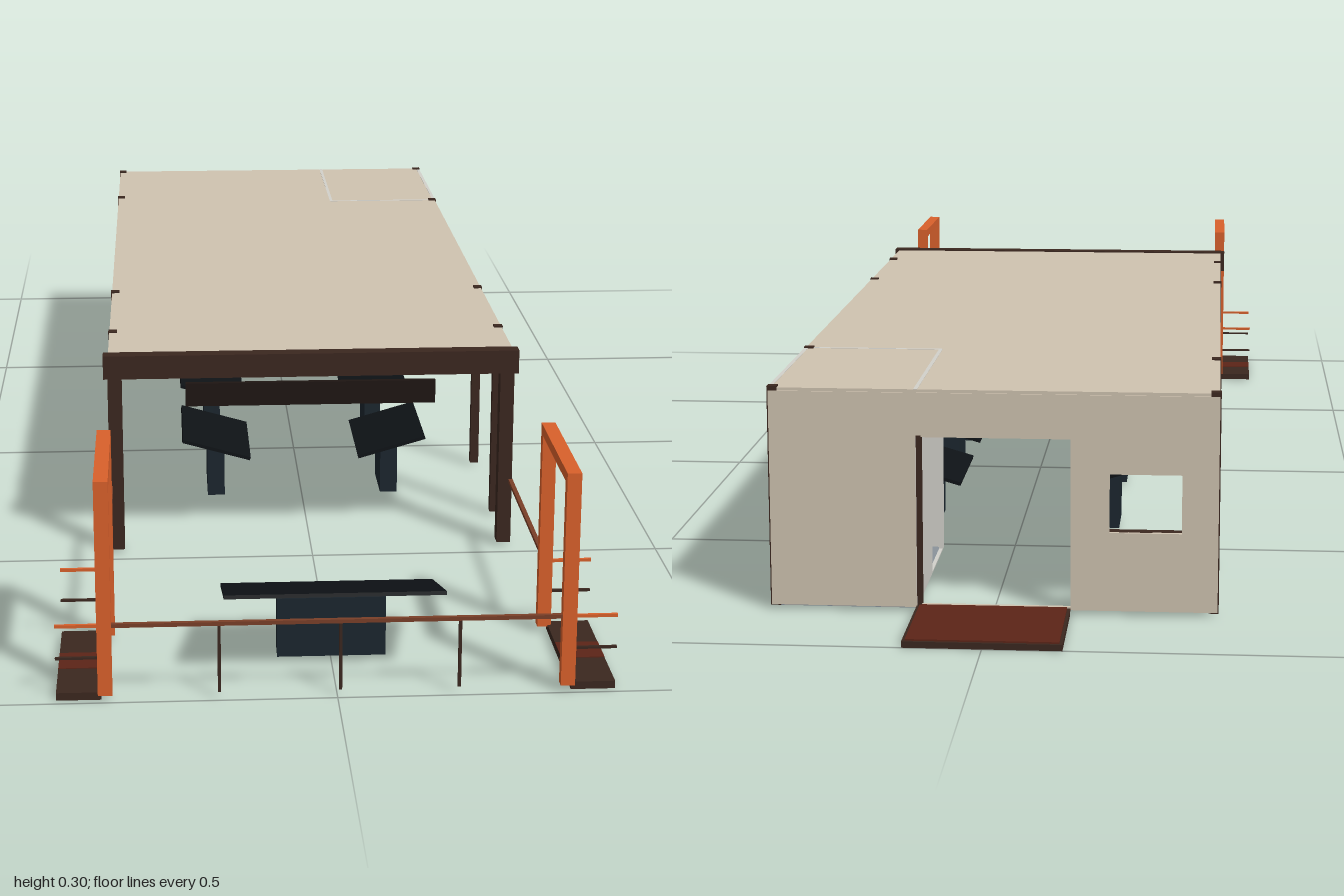
import * as THREE from 'three';

const mat = (color) => new THREE.MeshStandardMaterial({ color, side: THREE.DoubleSide });
const M = {
  roof: mat(0xcfc3b0), grey: mat(0xd2d1cb), brown: mat(0x3b271f), orange: mat(0xd9602b),
  rust: mat(0x5c2417), sofa: mat(0x9c4128), cushion: mat(0x7a2f20), black: mat(0x0e1216),
  slate: mat(0x1b262e), tile: mat(0x8a939a), sign: mat(0x1e1512), rail: mat(0x7a3f28),
  lamp: mat(0xd99a3d), white: mat(0xe8e8e4),
};

// Box given by its min and max on each axis
function box(parent, name, material, x0, x1, y0, y1, z0, z1) {
  const m = new THREE.Mesh(new THREE.BoxGeometry(x1 - x0, y1 - y0, z1 - z0), material);
  m.position.set((x0 + x1) / 2, (y0 + y1) / 2, (z0 + z1) / 2);
  m.name = name;
  parent.add(m);
  return m;
}

// Upright wall in the xy plane with rectangular openings [u0, u1, v0, v1]
function wall(parent, name, material, u0, u1, v0, v1, depth, openings) {
  const rect = (P, a, b, c, d) => {
    const p = new P();
    p.moveTo(a, c); p.lineTo(b, c); p.lineTo(b, d); p.lineTo(a, d); p.closePath();
    return p;
  };
  const shape = rect(THREE.Shape, u0, u1, v0, v1);
  openings.forEach((o) => shape.holes.push(rect(THREE.Path, ...o)));
  const m = new THREE.Mesh(new THREE.ExtrudeGeometry(shape, { depth, bevelEnabled: false }), material);
  m.name = name;
  parent.add(m);
  return m;
}

// Display desk with a sloping top that rises toward its local +z
function desk(parent, name, s, x, z, turn) {
  const g = new THREE.Group();
  g.name = name;
  box(g, 'deskPedestal', M.slate, -0.07 * s, 0.07 * s, 0.008, 0.088, -0.013, 0.013);
  const top = new THREE.Mesh(new THREE.BoxGeometry(0.28 * s, 0.005, 0.166 * s), M.black);
  top.position.y = 0.095;
  top.rotation.x = -0.28;
  top.name = 'slopingTop';
  g.add(top);
  g.position.set(x, 0, z);
  g.rotation.y = turn;
  parent.add(g);
}

function cylinder(parent, name, material, r0, r1, h, x, y, z) {
  const m = new THREE.Mesh(new THREE.CylinderGeometry(r0, r1, h, 20), material);
  m.position.set(x, y, z);
  m.name = name;
  parent.add(m);
}

function buildPavilion(root) {
  const g = new THREE.Group();
  g.name = 'pavilion';
  root.add(g);
  box(g, 'roof', M.roof, -0.29, 0.29, 0.287, 0.294, -0.84, 0.46);
  box(g, 'frontBeam', M.brown, -0.297, 0.297, 0.262, 0.296, 0.452, 0.474);
  box(g, 'hangingSign', M.sign, -0.18, 0.18, 0.213, 0.247, 0.442, 0.45);
  // Cross beams and long battens below the roof
  for (const z of [0.335, 0.1, -0.21, -0.46, -0.6])
    box(g, 'crossBeam', M.brown, -0.288, z < -0.55 ? 0.1 : 0.288, 0.278, 0.287, z - 0.006, z + 0.006);
  for (const x of [-0.1, 0.1])
    box(g, 'roofBatten', M.rail, x - 0.004, x + 0.004, 0.282, 0.287, -0.55, 0.45);
  for (const s of [-1, 1]) {
    const post = (z, w) => box(g, 'post', M.brown, s * 0.285 - w, s * 0.285 + w, 0.005, 0.296, z - w, z + w);
    box(g, 'frontPost', M.brown, s * 0.281 - 0.01, s * 0.281 + 0.01, 0.005, 0.27, 0.451, 0.473);
    [0.335, 0.1, -0.835].forEach((z) => post(z, 0.0065));
    post(s < 0 ? -0.6 : -0.55, 0.0065);
    box(g, 'edgeBeam', M.brown, s * 0.287 - 0.003, s * 0.287 + 0.003, 0.283, 0.2875, -0.84, 0.46);
    [0.205, -0.085, -0.375].forEach((z) => desk(g, 'sideDesk', 0.64, s * 0.133, z, s * Math.PI / 2));
  }
}

function buildRearRooms(root) {
  const g = new THREE.Group();
  g.name = 'rearRooms';
  root.add(g);
  // Back wall with doorway and window
  wall(g, 'backWall', M.roof, -0.29, 0.29, 0.006, 0.29, 0.006,
    [[-0.1, 0.1, 0.01, 0.232], [-0.243, -0.15, 0.11, 0.187]]).position.z = -0.842;
  box(g, 'doorHeader', M.sign, -0.13, 0.095, 0.234, 0.268, -0.835, -0.82);
  box(g, 'doorJamb', M.orange, -0.112, -0.1, 0.006, 0.234, -0.836, -0.826);
  box(g, 'doorJamb', M.brown, 0.093, 0.099, 0.006, 0.234, -0.843, -0.826);
  box(g, 'windowSill', M.brown, -0.248, -0.146, 0.106, 0.11, -0.838, -0.822);
  // Small closed room in the back corner
  wall(g, 'roomFrontWall', M.grey, 0.098, 0.29, 0.01, 0.2945, 0.005, []).position.z = -0.553;
  const side = wall(g, 'roomSideWall', M.grey, 0.55, 0.84, 0.01, 0.2945, 0.005, [[0.68, 0.755, 0.11, 0.182]]);
  side.rotation.y = Math.PI / 2;
  side.position.x = 0.286;
  const inner = wall(g, 'roomInnerWall', M.grey, 0.55, 0.84, 0.01, 0.2945, 0.005, [[0.57, 0.69, 0.012, 0.215]]);
  inner.rotation.y = Math.PI / 2;
  inner.position.x = 0.097;
  const frame = wall(g, 'sideWindowFrame', M.white, 0.677, 0.758, 0.107, 0.185, 0.007, [[0.682, 0.753, 0.112, 0.18]]);
  frame.rotation.y = Math.PI / 2;
  frame.position.x = 0.285;
  box(g, 'roomFloor', M.tile, 0.1, 0.288, 0.004, 0.01, -0.838, -0.552);
  box(g, 'basin', M.white, 0.23, 0.28, 0.07, 0.09, -0.66, -0.59);
  box(g, 'basinStand', M.white, 0.25, 0.27, 0.01, 0.07, -0.635, -0.615);
  // Entrance deck
  box(g, 'deck', M.brown, -0.1, 0.1, 0, 0.008, -1, -0.842);
  box(g, 'deckMat', M.rust, -0.096, 0.096, 0.008, 0.01, -0.996, -0.842);
}

function buildLounge(root) {
  const g = new THREE.Group();
  g.name = 'lounge';
  root.add(g);
  // Corner sofa
  box(g, 'sofaBase', M.brown, -0.28, -0.14, 0.008, 0.045, -0.832, -0.765);
  box(g, 'sofaBase', M.brown, -0.28, -0.225, 0.008, 0.045, -0.765, -0.625);
  box(g, 'sofaSeat', M.sofa, -0.28, -0.14, 0.045, 0.056, -0.832, -0.763);
  box(g, 'sofaSeat', M.sofa, -0.28, -0.223, 0.045, 0.056, -0.763, -0.625);
  box(g, 'sofaBack', M.sofa, -0.28, -0.14, 0.056, 0.092, -0.832, -0.815);
  box(g, 'sofaBack', M.sofa, -0.28, -0.267, 0.056, 0.092, -0.815, -0.625);
  for (const x of [-0.25, -0.163])
    box(g, 'cushion', M.cushion, x - 0.017, x + 0.017, 0.056, 0.086, -0.815, -0.804);
  // Round table
  cylinder(g, 'tableTop', M.brown, 0.034, 0.034, 0.005, -0.178, 0.055, -0.7);
  cylinder(g, 'tableStem', M.brown, 0.005, 0.005, 0.045, -0.178, 0.031, -0.7);
  cylinder(g, 'tableFoot', M.brown, 0.018, 0.02, 0.005, -0.178, 0.009, -0.7);
  // Standing lamp
  cylinder(g, 'lampPole', M.brown, 0.002, 0.002, 0.14, -0.265, 0.075, -0.61);
  box(g, 'lampShade', M.lamp, -0.275, -0.253, 0.137, 0.16, -0.621, -0.599);
}

function buildFrontYard(root) {
  const g = new THREE.Group();
  g.name = 'frontYard';
  root.add(g);
  desk(g, 'frontDesk', 1, 0, 0.873, 0);
  for (const s of [-1, 1]) {
    // Portal frame with footing and outward stub rails
    const x0 = s * 0.289 - 0.009, x1 = s * 0.289 + 0.009;
    for (const z of [0.797, 0.99]) {
      box(g, 'portalPost', M.orange, x0, x1, 0.008, 0.288, z - 0.007, z + 0.007);
      const a = Math.min(s * 0.29, s * 0.35), b = Math.max(s * 0.29, s * 0.35);
      box(g, 'stubRail', M.orange, a, b, 0.097, 0.101, z - 0.002, z + 0.002);
      box(g, 'stubRail', M.brown, a, b, 0.055, 0.058, z - 0.002, z + 0.002);
    }
    box(g, 'portalTop', M.orange, x0, x1, 0.274, 0.288, 0.79, 0.997);
    box(g, 'footing', M.brown, s * 0.322 - 0.028, s * 0.322 + 0.028, 0, 0.01, 0.79, 0.99);
    box(g, 'footingStrip', M.rust, s * 0.322 - 0.028, s * 0.322 + 0.028, 0.01, 0.011, 0.865, 0.915);
    box(g, 'sideRail', M.rail, s * 0.289 - 0.003, s * 0.289 + 0.003, 0.097, 0.102, 0.47, 0.79);
  }
  // Front railing on three thin posts
  box(g, 'frontRail', M.rail, -0.289, 0.289, 0.097, 0.102, 0.988, 0.994);
  for (const x of [-0.147, 0.004, 0.153])
    box(g, 'railPost', M.brown, x - 0.002, x + 0.002, 0.008, 0.098, 0.989, 0.993);
}

export function createModel() {
  const root = new THREE.Group();
  root.name = 'showPavilion';
  buildPavilion(root);
  buildRearRooms(root);
  buildLounge(root);
  buildFrontYard(root);
  return root;
}
